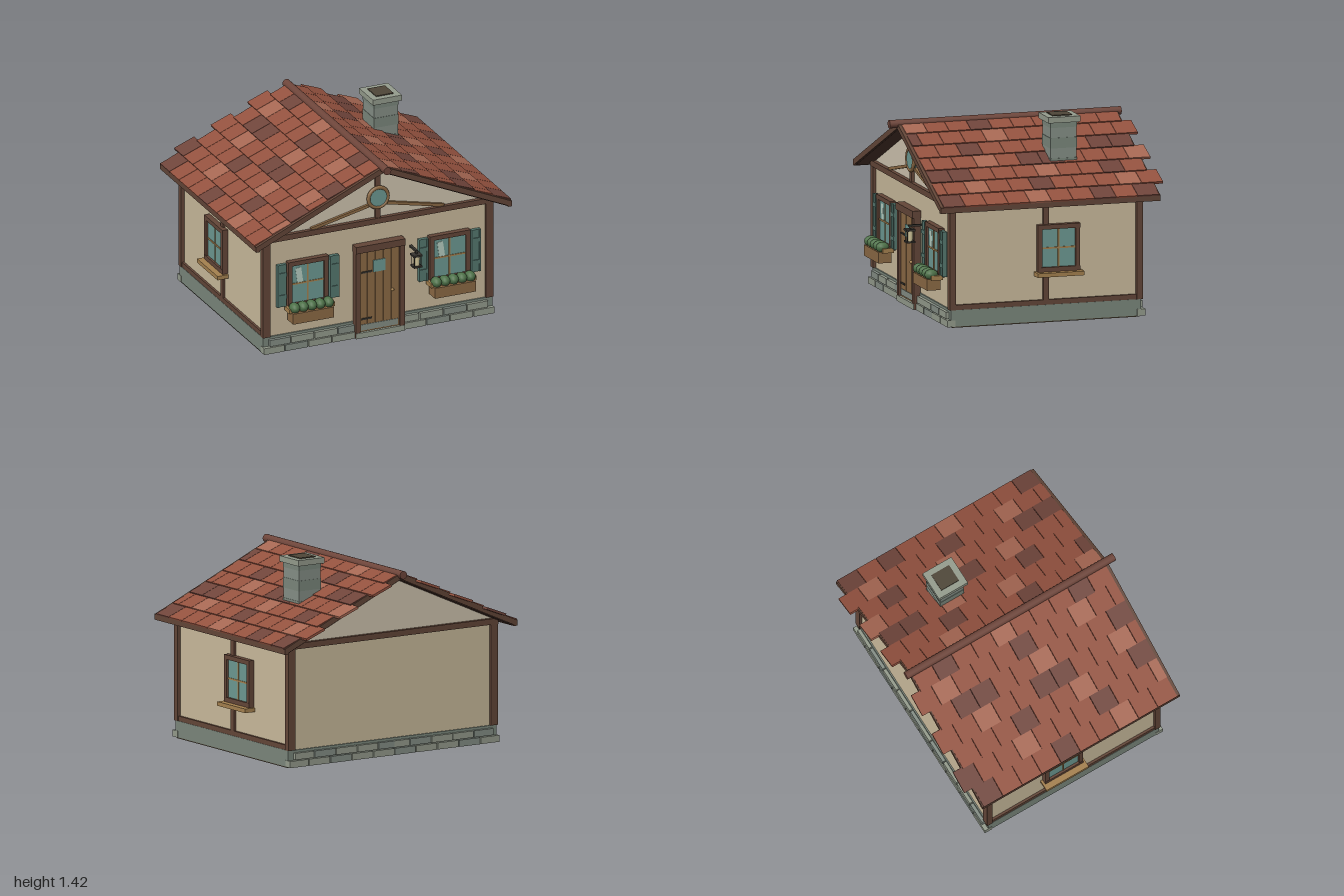
import * as THREE from 'three';

const C = {
  wood: 0x634638, woodDark: 0x4a332b, oak: 0x8c6a45, pine: 0xa5814f, wall: 0xcabb9c, gable: 0xd0c5b0,
  glass: 0x6d9a93, shine: 0xb8cfc2, shutter: 0x55786f, plinth: 0x7b877c, stoneA: 0x959c8d, stoneB: 0x858f86,
  iron: 0x383530, leaf: 0x4d7148, soil: 0x4e4638, red: 0x94523f, light: 0xa76853, dark: 0x70453b, glow: 0xd9cda0,
};
const mats = {};
const mat = (c) => (mats[c] ??= new THREE.MeshStandardMaterial({ color: c }));

function add(parent, name, geo, color, x = 0, y = 0, z = 0) {
  const m = new THREE.Mesh(geo, mat(color));
  m.name = name;
  m.position.set(x, y, z);
  parent.add(m);
  return m;
}
const box = (p, name, color, w, h, d, x, y, z) => add(p, name, new THREE.BoxGeometry(w, h, d), color, x, y, z);

function group(parent, name, x = 0, y = 0, z = 0) {
  const g = new THREE.Group();
  g.name = name;
  g.position.set(x, y, z);
  parent.add(g);
  return g;
}

// Framed four-pane window facing +z, its back on the wall plane
function windowUnit(parent, name, w, h, x, y, z) {
  const g = group(parent, name, x, y, z);
  const t = 0.033;
  for (const s of [-1, 1]) {
    box(g, 'windowJamb', C.wood, t, h, 0.04, s * (w - t) / 2, 0, 0.01);
    box(g, 'windowRail', C.wood, w, t, 0.044, 0, s * (h - t) / 2, 0.01);
  }
  box(g, 'glass', C.glass, w - t, h - t, 0.02, 0, 0, 0.005);
  box(g, 'mullion', C.pine, 0.012, h - 2 * t, 0.016, 0, 0, 0.012);
  box(g, 'transom', C.pine, w - 2 * t, 0.012, 0.016, 0, 0, 0.012);
  return g;
}

// Front window with shutters and a planted flower box
function frontWindow(parent, x) {
  const g = windowUnit(parent, 'frontWindow', 0.315, 0.355, x, 0.512, 0.71);
  const shine = box(g, 'glassShine', C.shine, 0.045, 0.12, 0.004, -0.065, 0.06, 0.015);
  shine.rotation.z = 0.14;
  for (const s of [-1, 1]) {
    const sh = group(g, 'shutter', s * 0.205, 0.005, 0.012);
    box(sh, 'shutterPanel', C.shutter, 0.07, 0.325, 0.026, 0, 0, 0);
    for (const y of [-0.085, 0.085]) box(sh, 'shutterBatten', C.shutter, 0.07, 0.03, 0.012, 0, y, 0.014);
    for (const e of [-1, 1]) box(sh, 'shutterEdge', C.shutter, 0.012, 0.325, 0.01, e * 0.029, 0, 0.014);
  }
  box(g, 'windowSill', C.pine, 0.355, 0.033, 0.085, 0, -0.175, 0.05);
  box(g, 'flowerBox', C.oak, 0.32, 0.08, 0.1, 0, -0.225, 0.07);
  for (let i = -2; i <= 2; i++) {
    const b = add(g, 'plant', new THREE.SphereGeometry(0.04, 12, 8), C.leaf, i * 0.066, -0.155, 0.08);
    b.scale.set(0.95, 0.95, 1.25);
  }
}

function door(parent) {
  const g = group(parent, 'door', 0, 0, 0.71);
  for (const s of [-1, 1]) box(g, 'doorJamb', C.wood, 0.038, 0.66, 0.05, s * 0.172, 0.345, 0.022);
  box(g, 'doorLintel', C.wood, 0.385, 0.052, 0.065, 0, 0.698, 0.025);
  box(g, 'doorBacking', C.woodDark, 0.31, 0.63, 0.02, 0, 0.355, 0.008);
  for (let i = -2; i <= 2; i++) box(g, 'doorPlank', C.oak, 0.057, 0.61, 0.016, i * 0.062, 0.355, 0.022);
  box(g, 'doorPane', C.glass, 0.092, 0.09, 0.01, -0.002, 0.545, 0.03);
  for (const y of [0.15, 0.51]) box(g, 'doorHinge', C.iron, 0.08, 0.012, 0.008, -0.1, y, 0.033);
  add(g, 'doorKnob', new THREE.SphereGeometry(0.012, 10, 8), C.pine, 0.1, 0.34, 0.038);
  box(g, 'kickPlate', C.stoneB, 0.29, 0.045, 0.006, 0, 0.085, 0.031);
  box(g, 'doorstep', C.stoneA, 0.38, 0.042, 0.055, 0, 0.032, 0.022);
}

function lantern(parent) {
  const g = group(parent, 'lantern', 0.257, 0, 0.81);
  box(g, 'lanternBracket', C.iron, 0.02, 0.014, 0.11, 0, 0.635, -0.045);
  box(g, 'lanternHook', C.iron, 0.01, 0.035, 0.01, 0, 0.62, 0);
  box(g, 'lanternCap', C.iron, 0.068, 0.014, 0.066, 0, 0.605, 0);
  add(g, 'lanternGlass', new THREE.CylinderGeometry(0.027, 0.023, 0.08, 8), C.glow, 0, 0.56, 0);
  for (const sx of [-1, 1]) for (const sz of [-1, 1])
    box(g, 'lanternBar', C.iron, 0.005, 0.08, 0.005, sx * 0.025, 0.56, sz * 0.025);
  box(g, 'lanternBase', C.iron, 0.066, 0.012, 0.064, 0, 0.52, 0);
}

// Two staggered courses of stones along the front or back of the plinth
function stoneCourses(parent, z, gap) {
  for (let row = 0; row < 2; row++)
    for (const s of [-1, 1])
      for (let i = 0; i < 5; i++) {
        const x0 = Math.max(gap, i * 0.184 - row * 0.05 + 0.004);
        const x1 = Math.min(row ? 0.85 : 0.898, (i + 1) * 0.184 - row * 0.05 - 0.004);
        if (x1 - x0 < 0.03) continue;
        const c = (i + row * 2 + (s > 0 ? 1 : 0)) % 3 ? C.stoneA : C.stoneB;
        box(parent, 'plinthStone', c, x1 - x0, 0.048, 0.06 - row * 0.012, s * (x0 + x1) / 2, 0.034 + row * 0.053, z);
      }
}

// One roof slope: slab, staggered tiles, rake boards and eave board
function roofSlope(parent, s) {
  const a = Math.atan(0.445), L = 1 / Math.cos(a), pitch = L / 7;
  const g = group(parent, 'roofSlope', 0, 1.335, 0);
  g.rotation.z = -s * a;
  box(g, 'roofSlab', C.woodDark, L - 0.01, 0.026, 1.62, s * (L / 2 - 0.005), -0.033, 0);
  for (const e of [-1, 1]) box(g, 'rakeBoard', C.wood, L, 0.04, 0.026, s * L / 2, -0.02, e * 0.807);
  for (let r = 0; r < 7; r++) {
    const odd = r % 2;
    for (let c = 0; c < 10 + odd; c++) {
      const z0 = -0.81 + c * 0.161 - odd * 0.075;
      const z1 = Math.min(0.798, z0 + 0.158);
      const k = (c + r * 4 + (s > 0 ? 2 : 0)) % 7;
      const color = k === 4 || (c * 5 + r * 3) % 17 === 0 ? C.dark : k === 0 ? C.light : C.red;
      const t = box(g, 'roofTile', color, 0.168, 0.018, z1 - z0, s * (L - 0.085 - r * pitch), -0.004, (z0 + z1) / 2);
      t.rotation.z = s * 0.05;
    }
  }
  box(parent, 'eaveBoard', C.wood, 0.03, 0.042, 1.64, s * 0.983, 0.872, 0);
}

function chimney(parent) {
  const g = group(parent, 'chimney', 0.458, 0, -0.243);
  for (let i = 0; i < 5; i++) {
    const w = 0.192 - (i % 2) * 0.006;
    box(g, 'chimneyCourse', i % 2 ? C.stoneB : C.plinth, w, 0.075, w + 0.008, 0, 1.077 + i * 0.074, 0);
  }
  for (const s of [-1, 1]) {
    box(g, 'chimneyCap', C.stoneA, 0.225, 0.042, 0.047, 0, 1.394, s * 0.096);
    box(g, 'chimneyCap', C.stoneA, 0.046, 0.042, 0.15, s * 0.09, 1.394, 0);
  }
  box(g, 'flue', C.soil, 0.135, 0.06, 0.146, 0, 1.392, 0);
}

export function createModel() {
  const house = new THREE.Group();
  house.name = 'cottage';

  // Base and walls
  box(house, 'floor', C.soil, 1.78, 0.01, 1.4, 0, 0.008, 0);
  box(house, 'plinth', C.plinth, 1.79, 0.118, 1.42, 0, 0.071, 0);
  stoneCourses(house, 0.71, 0.19);
  stoneCourses(house, -0.71, 0);
  box(house, 'walls', C.wall, 1.75, 0.78, 1.4, 0, 0.5, 0);

  // Gable ends
  const tri = new THREE.Shape([[-0.87, 0.88], [0.87, 0.88], [0.87, 0.9], [0, 1.29], [-0.87, 0.9]].map((p) => new THREE.Vector2(...p)));
  for (const z of [0.675, -0.695])
    add(house, 'gable', new THREE.ExtrudeGeometry(tri, { depth: 0.02, bevelEnabled: false }), C.gable, 0, 0, z);

  // Timber frame
  for (const sz of [-1, 1]) {
    box(house, 'tieBeam', C.wood, 1.8, 0.042, 0.05, 0, 0.88, sz * 0.7);
    for (const sx of [-1, 1]) box(house, 'cornerPost', C.wood, 0.058, 0.75, 0.045, sx * 0.87, 0.505, sz * 0.698);
  }
  for (const sx of [-1, 1]) {
    box(house, 'wallPlate', C.wood, 0.04, 0.04, 1.4, sx * 0.875, 0.875, 0);
    box(house, 'bottomRail', C.wood, 0.035, 0.036, 1.4, sx * 0.875, 0.148, 0);
    box(house, 'sidePost', C.wood, 0.035, 0.72, 0.042, sx * 0.875, 0.51, 0);

    // Side window and its sill
    const side = windowUnit(house, 'sideWindow', 0.315, 0.34, sx * 0.885, 0.54, -0.09);
    side.rotation.y = sx * Math.PI / 2;
    box(side, 'sideSill', C.pine, 0.35, 0.03, 0.085, 0, -0.185, 0.035);
  }

  // Front gable: king post, braces and round window
  box(house, 'kingPost', C.wood, 0.038, 0.4, 0.035, 0, 1.09, 0.702);
  for (const s of [-1, 1]) {
    const brace = box(house, 'gableBrace', C.oak, 0.46, 0.022, 0.03, s * 0.295, 0.953, 0.7);
    brace.rotation.z = -s * 0.22;
  }
  const round = group(house, 'roundWindow', 0, 1.06, 0.72);
  add(round, 'roundFrame', new THREE.TorusGeometry(0.076, 0.014, 8, 28), C.oak);
  const pane = add(round, 'roundGlass', new THREE.CylinderGeometry(0.072, 0.072, 0.03, 28), C.glass, 0, 0, -0.008);
  pane.rotation.x = Math.PI / 2;

  // Front fittings
  door(house);
  frontWindow(house, -0.553);
  frontWindow(house, 0.553);
  lantern(house);

  // Roof
  roofSlope(house, 1);
  roofSlope(house, -1);
  const ridge = add(house, 'ridgeBeam', new THREE.CylinderGeometry(0.03, 0.03, 1.73, 12), C.wood, 0, 1.325, 0.015);
  ridge.material = mat(0x6f463b);
  ridge.rotation.x = Math.PI / 2;
  chimney(house);
  return house;
}
